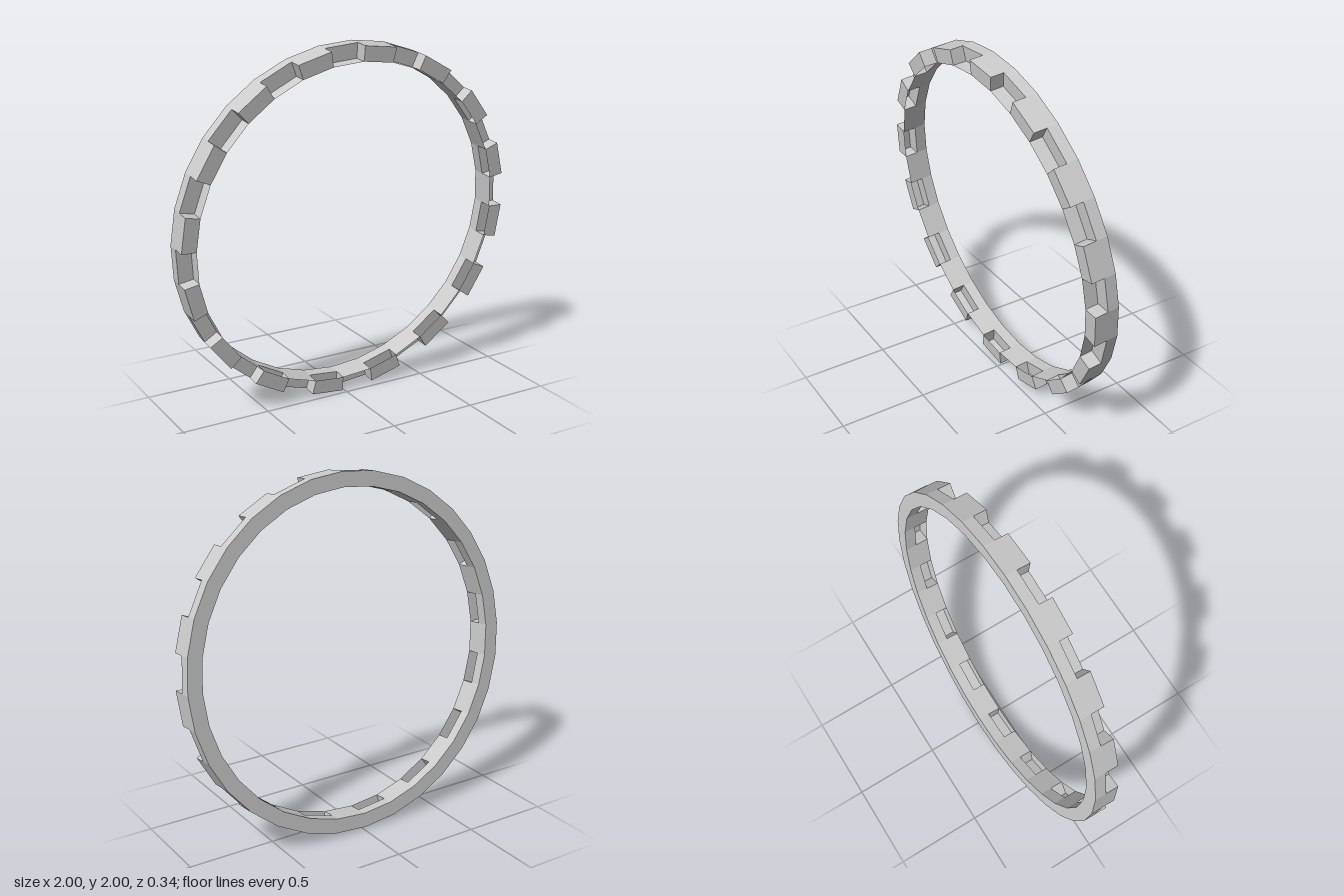
import * as THREE from 'three';

const SEGMENTS = 32;
const STEP = (Math.PI * 2) / SEGMENTS;
const OUTER = 0.998, INNER = 0.915;
const BACK = -0.07, FLOOR = -0.005, FRONT = 0.07;

// Sheet spanning one segment: a [radius, z] path is drawn at both ends of the
// segment and joined across; closing the sides adds end walls to the path.
function segmentSheet(path, sideWall) {
  const positions = [];
  const point = (r, z, a) => positions.push(r * Math.cos(a), r * Math.sin(a), z);
  for (const [r, z] of path) {
    point(r, z, 0);
    point(r, z, STEP);
  }
  const index = [];
  for (let i = 0; i < path.length - 1; i++) {
    const a = i * 2;
    index.push(a, a + 1, a + 3, a, a + 3, a + 2);
  }
  if (sideWall) {
    // End walls: the path's three corners plus the inner floor corner
    for (const angle of [0, STEP]) {
      const n = positions.length / 3;
      for (const [r, z] of [...path, [INNER, FLOOR]]) point(r, z, angle);
      index.push(n, n + 1, n + 2, n, n + 2, n + 3);
    }
  }
  const geometry = new THREE.BufferGeometry();
  geometry.setAttribute('position', new THREE.Float32BufferAttribute(positions, 3));
  geometry.setIndex(index);
  const flat = geometry.toNonIndexed();
  flat.computeVertexNormals();
  return flat;
}

export function createModel() {
  const model = new THREE.Group();
  const material = new THREE.MeshStandardMaterial({
    color: 0xcccccc, flatShading: true, side: THREE.DoubleSide,
  });

  // Ring lying in the xy plane, tipped forward at the top
  const ring = new THREE.Group();
  ring.name = 'castellatedRing';
  ring.position.y = 1;
  ring.rotation.set(THREE.MathUtils.degToRad(5.7), 0, THREE.MathUtils.degToRad(-0.6));
  model.add(ring);

  // Continuous band of rectangular section
  const profile = [
    [OUTER, BACK], [OUTER, FLOOR], [INNER, FLOOR], [INNER, BACK], [OUTER, BACK],
  ].map(([r, z]) => new THREE.Vector2(r, z));
  const bandGeometry = new THREE.LatheGeometry(profile, SEGMENTS);
  bandGeometry.rotateX(Math.PI / 2);
  const band = new THREE.Mesh(bandGeometry, material);
  band.name = 'band';
  ring.add(band);

  // Hollow teeth, open to the inside, alternating with thin inner panels
  const toothGeometry = segmentSheet([[OUTER, FLOOR], [OUTER, FRONT], [INNER, FRONT]], true);
  const panelGeometry = segmentSheet([[INNER, FRONT], [INNER, FLOOR]], false);
  for (let i = 0; i < SEGMENTS; i++) {
    const isTooth = i % 2 === 1;
    const part = new THREE.Mesh(isTooth ? toothGeometry : panelGeometry, material);
    part.name = isTooth ? 'tooth' : 'innerPanel';
    part.rotation.z = i * STEP;
    ring.add(part);
  }

  return model;
}
